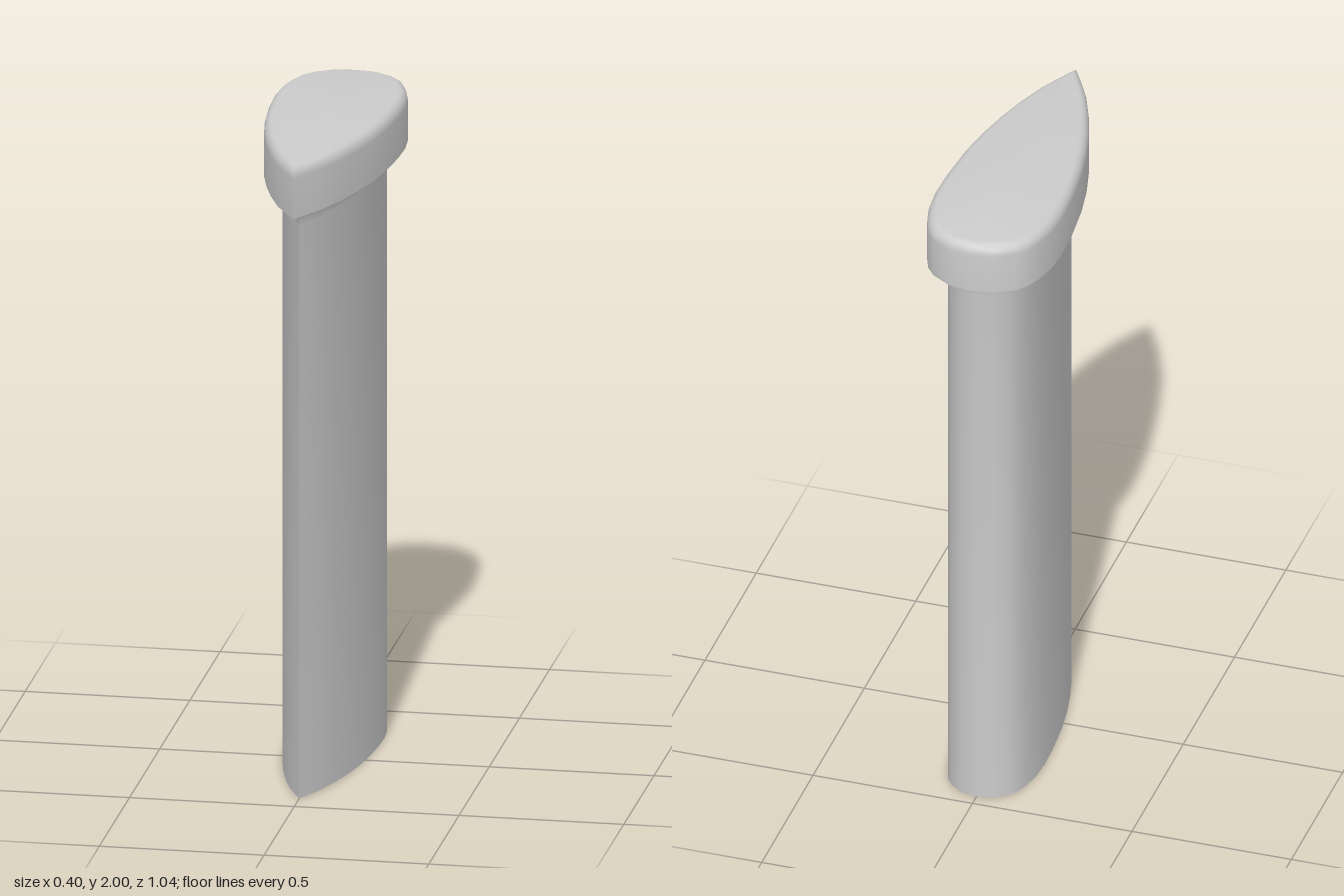
import * as THREE from 'three';
import { toCreasedNormals } from 'three/addons/utils/BufferGeometryUtils.js';

// Half of the teardrop plan as [x, z], rounded back to pointed front
const HALF = [
  [0, -0.52], [0.068, -0.512], [0.13, -0.475], [0.158, -0.44], [0.178, -0.39], [0.193, -0.33],
  [0.2, -0.25], [0.197, -0.15], [0.184, -0.01], [0.165, 0.1], [0.14, 0.2], [0.108, 0.3],
  [0.07, 0.395], [0.035, 0.46], [0, 0.52],
];
const OUTLINE = [...HALF, ...HALF.slice(1, -1).reverse().map(([x, z]) => [-x, z])];

// Teardrop ring drawn in by an inset; the sharp front recedes faster
function ring(inset, y) {
  const back = -0.52 + inset;
  const front = 0.52 - 1.7 * inset;
  return OUTLINE.map(([x, z]) => new THREE.Vector3(
    x * (0.2 - inset) / 0.2, y, back + (z + 0.52) / 1.04 * (front - back)));
}

// Loft through [inset, y] rows, optionally closing either end with a fan
function loft(name, rows, closeBottom, closeTop, material) {
  const rings = rows.map(([inset, y]) => ring(inset, y));
  const n = OUTLINE.length;
  const pos = [];
  const tri = (...pts) => pts.forEach((p) => pos.push(p.x, p.y, p.z));
  for (let i = 0; i < n; i++) {
    const k = (i + 1) % n;
    for (let j = 0; j < rings.length - 1; j++) {
      const lo = rings[j], hi = rings[j + 1];
      tri(lo[i], hi[i], hi[k]);
      tri(lo[i], hi[k], lo[k]);
    }
    const first = rings[0], last = rings[rings.length - 1];
    if (closeBottom) tri(first[i], first[k], new THREE.Vector3(0, first[0].y, -0.15));
    if (closeTop) tri(last[k], last[i], new THREE.Vector3(0, last[0].y, -0.15));
  }
  const geometry = new THREE.BufferGeometry();
  geometry.setAttribute('position', new THREE.Float32BufferAttribute(pos, 3));
  const mesh = new THREE.Mesh(toCreasedNormals(geometry, 0.7), material);
  mesh.name = name;
  return mesh;
}

export function createModel() {
  const group = new THREE.Group();
  group.name = 'teardropPillar';
  const material = new THREE.MeshStandardMaterial({ color: 0xcccccc });

  // Shaft with a small flare where it meets the cap
  const shaft = [[0.06, 0], [0.06, 1.79], [0.057, 1.81], [0.051, 1.826], [0.04, 1.84]];
  group.add(loft('shaft', shaft, true, false, material));

  // Cap: flat underside, upright side, rounded upper edge
  const cap = [[0.04, 1.84], [0, 1.84], [0, 1.965]];
  for (let s = 1; s <= 5; s++) {
    const a = s / 5 * Math.PI / 2;
    cap.push([0.03 * (1 - Math.cos(a)), 1.965 + 0.035 * Math.sin(a)]);
  }
  group.add(loft('cap', cap, false, true, material));
  return group;
}
